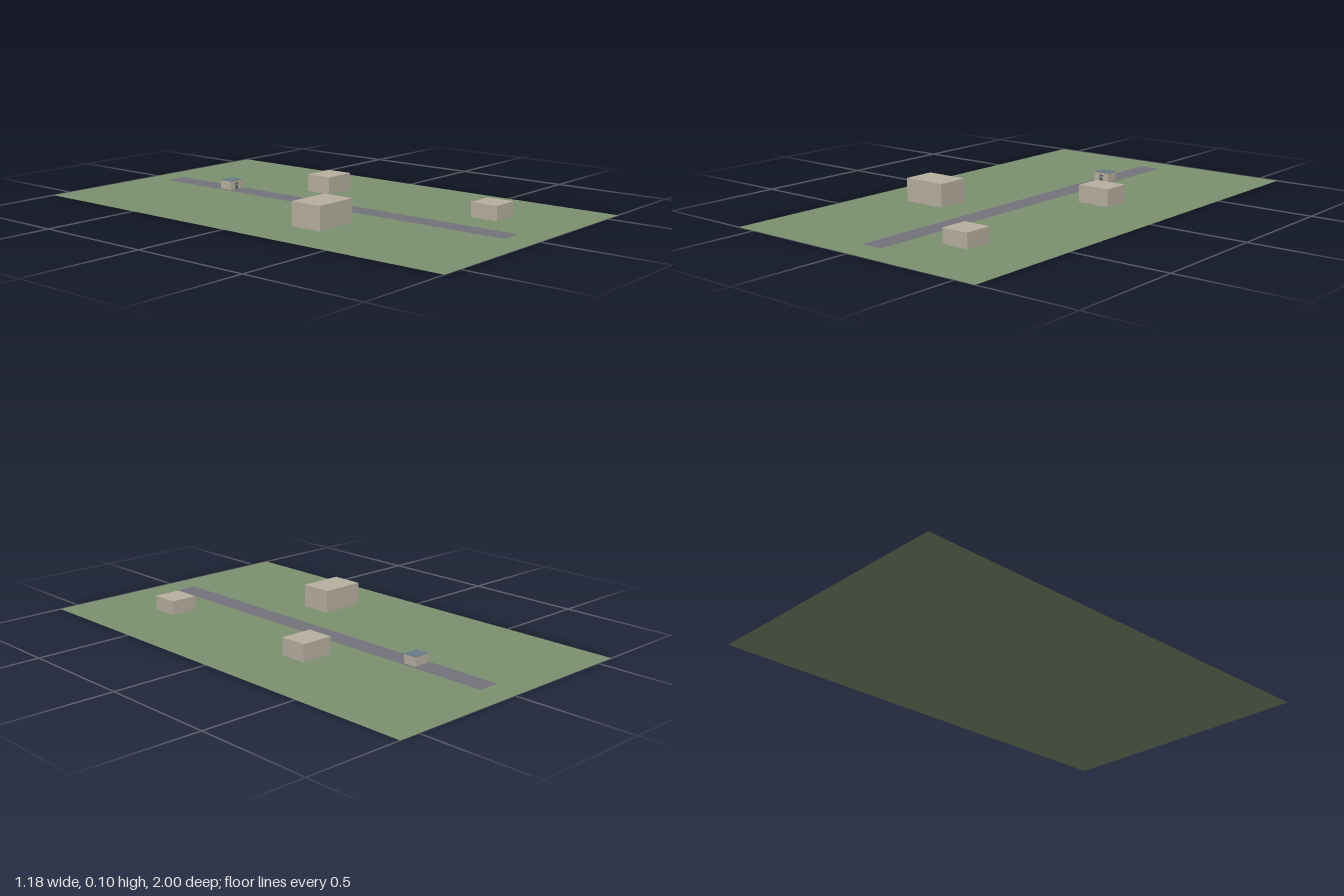
import * as THREE from 'three';

const mat = (color, side = THREE.FrontSide) => new THREE.MeshStandardMaterial({ color, side });

export function createModel() {
  const model = new THREE.Group();
  const walls = mat(0xb8b0a0);
  const roofBlue = mat(0x667c88);
  const dark = mat(0x5c5a58);
  const teal = mat(0x5f9a94);

  // Flat horizontal sheet
  const sheet = (name, w, d, y, material) => {
    const mesh = new THREE.Mesh(new THREE.PlaneGeometry(w, d).rotateX(-Math.PI / 2), material);
    mesh.name = name;
    mesh.position.y = y;
    model.add(mesh);
  };

  // Box given by its base centre
  const block = (name, [w, h, d], [x, y, z], material, parent = model) => {
    const mesh = new THREE.Mesh(new THREE.BoxGeometry(w, h, d), material);
    mesh.name = name;
    mesh.position.set(x, y + h / 2, z);
    parent.add(mesh);
  };

  // Field and the road along its middle
  sheet('ground', 1.176, 2, 0, mat(0x7c9070, THREE.DoubleSide));
  sheet('road', 0.094, 1.764, 0.002, mat(0x74727a, THREE.DoubleSide));

  // Plain buildings beside the road
  block('largeBuilding', [0.188, 0.096, 0.138], [-0.295, 0.003, 0.235], walls);
  block('mediumBuilding', [0.141, 0.072, 0.118], [0.235, 0.003, -0.178], walls);
  block('smallBuilding', [0.118, 0.06, 0.118], [0.235, 0.003, 0.647], walls);

  // Hut on the road, with a flat blue roof and a front door
  const hut = new THREE.Group();
  hut.name = 'hut';
  hut.position.set(0, 0.003, -0.53);
  model.add(hut);
  block('hutWalls', [0.071, 0.037, 0.059], [0, 0, 0], walls, hut);
  block('hutRoof', [0.071, 0.002, 0.059], [0, 0.037, 0], roofBlue, hut);
  block('hutDoor', [0.016, 0.028, 0.002], [0, 0, 0.03], dark, hut);
  block('hutDoorWindow', [0.011, 0.01, 0.001], [0, 0.014, 0.0312], teal, hut);

  return model;
}
